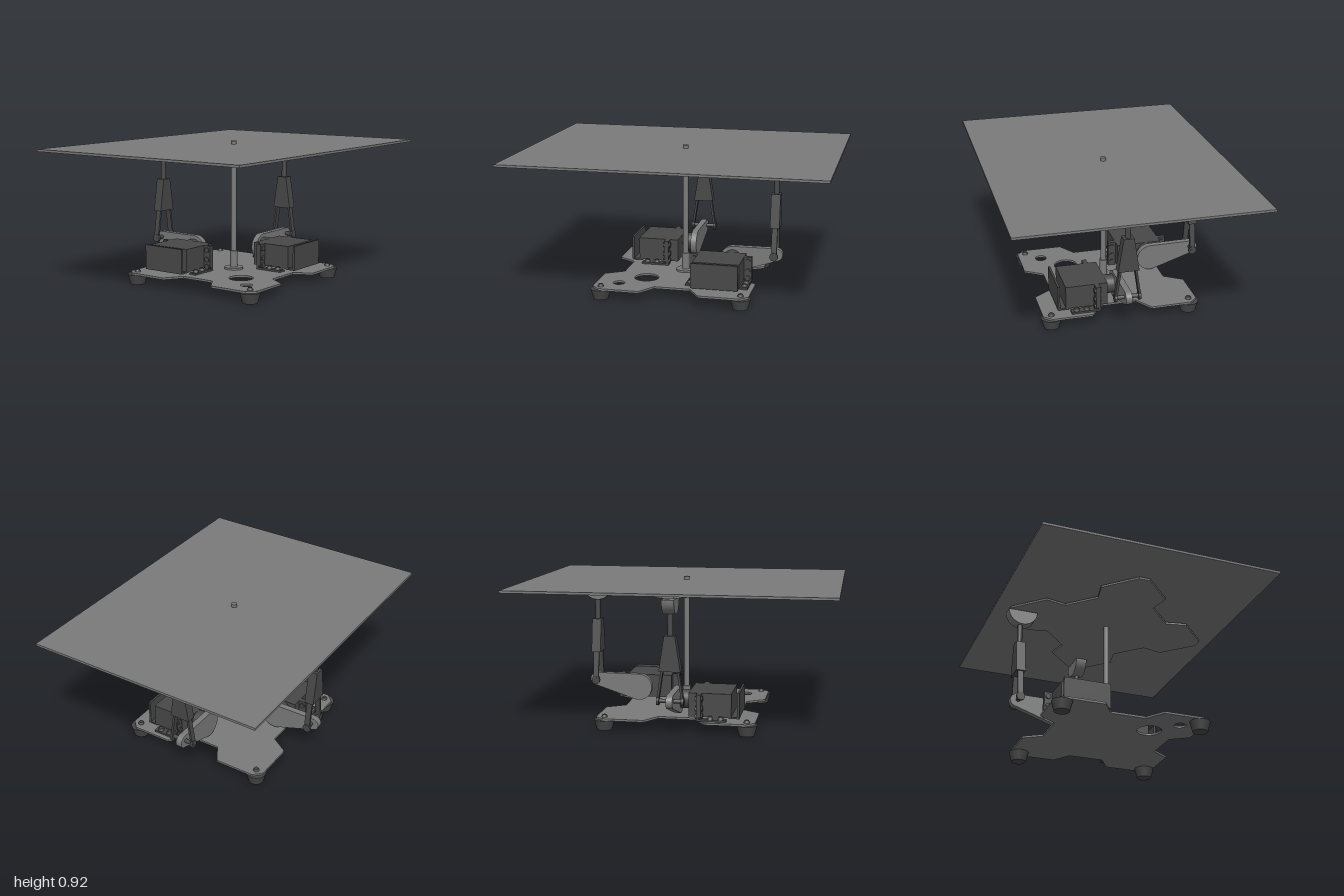
import * as THREE from 'three';

const plain = new THREE.MeshStandardMaterial({ color: 0x7a7a7a });
const dark = new THREE.MeshStandardMaterial({ color: 0x484848 });

function add(parent, name, mat, geo, x = 0, y = 0, z = 0) {
  const m = new THREE.Mesh(geo, mat);
  m.name = name;
  m.position.set(x, y, z);
  parent.add(m);
  return m;
}

// Box given by its two ends on each axis
function box(parent, name, mat, x0, x1, y0, y1, z0, z1) {
  const g = new THREE.BoxGeometry(Math.abs(x1 - x0), Math.abs(y1 - y0), Math.abs(z1 - z0));
  add(parent, name, mat, g, (x0 + x1) / 2, (y0 + y1) / 2, (z0 + z1) / 2);
}

const cyl = (rTop, rBottom, h, n = 28) => new THREE.CylinderGeometry(rTop, rBottom, h, n);
const cylZ = (r, h, n = 24) => cyl(r, r, h, n).rotateX(Math.PI / 2);

// Extrusion centred on its own depth
function slab(shape, depth) {
  return new THREE.ExtrudeGeometry(shape, { depth, bevelEnabled: false, curveSegments: 24 })
    .translate(0, 0, -depth / 2);
}

const poly = pts => new THREE.Shape(pts.map(p => new THREE.Vector2(...p)));

// Four-armed plate: one quarter outline turned four times
function crossPlate(holes) {
  const quarter = [[0.385, 0.115], [0.5, 0.19], [0.5, 0.45], [0.45, 0.5], [0.19, 0.5], [0.115, 0.385]];
  const pts = [];
  for (let k = 0; k < 4; k++) {
    const a = k * Math.PI / 2, c = Math.cos(a), s = Math.sin(a);
    for (const [x, y] of quarter) pts.push([x * c - y * s, x * s + y * c]);
  }
  const shape = poly(pts);
  for (const [x, y, r] of holes) {
    shape.holes.push(new THREE.Path().absarc(x, y, r, 0, Math.PI * 2, true));
  }
  return slab(shape, 0.013).rotateX(Math.PI / 2);
}

// Tapered lever: outline around a large and a small circle
function leverShape(x1, y1, R, x2, y2, r) {
  const phi = Math.atan2(y2 - y1, x2 - x1);
  const beta = Math.acos((R - r) / Math.hypot(x2 - x1, y2 - y1));
  const s = new THREE.Shape();
  s.absarc(x1, y1, R, phi + beta, phi - beta + Math.PI * 2, false);
  s.absarc(x2, y2, r, phi - beta, phi + beta, false);
  s.closePath();
  return s;
}

// Servo on one side of the lever, with bracket, lever and push rod
function servoUnit(side) {
  const g = new THREE.Group();
  g.name = 'servoUnit';
  const rodX = -0.597;

  // Servo body, mounting ears and rear guard
  box(g, 'servoBody', dark, -0.42, -0.12, 0.095, 0.245, side * 0.08, side * 0.348);
  box(g, 'rearGuard', dark, -0.42, -0.12, 0.09, 0.252, side * 0.384, side * 0.398);
  box(g, 'rearGuardFoot', dark, -0.42, -0.12, 0.09, 0.1, side * 0.33, side * 0.398);
  for (const x of [-0.445, -0.095]) {
    box(g, 'servoEar', dark, x - 0.025, x + 0.025, 0.1, 0.245, side * 0.15, side * 0.165);
    box(g, 'bracket', dark, x - 0.025, x + 0.025, 0.078, 0.245, side * 0.135, side * 0.15);
    box(g, 'bracketFoot', dark, x - 0.025, x + 0.025, 0.078, 0.09, side * 0.135, side * 0.32);
    for (const y of [0.105, 0.152, 0.215]) add(g, 'earScrew', dark, cylZ(0.017, 0.046, 16), x, y, side * 0.15);
    for (const z of [0.22, 0.285]) add(g, 'footScrew', dark, cyl(0.013, 0.02, 0.016, 16), x, 0.098, side * z);
  }

  // Output hub and lever
  add(g, 'outputHub', dark, cylZ(0.06, 0.06), -0.32, 0.185, side * 0.05);
  add(g, 'lever', plain, slab(leverShape(-0.32, 0.18, 0.087, -0.605, 0.227, 0.042), 0.04));
  add(g, 'leverPin', dark, cylZ(0.013, 0.17), rodX, 0.23, 0);

  // Fork with two leaning legs
  for (const s of [-1, 1]) {
    const leg = slab(poly([[0.07, 0.23], [0.084, 0.23], [0.054, 0.43], [0.04, 0.43]]), 0.036);
    leg.rotateY(-Math.PI / 2 * s);
    add(g, 'forkLeg', dark, leg, rodX, 0, 0);
    add(g, 'forkEye', dark, cylZ(0.027, 0.016), rodX, 0.23, s * 0.076);
  }
  const block = slab(poly([[-0.067, 0.415], [0.067, 0.415], [0.033, 0.632], [-0.033, 0.632]]), 0.06);
  add(g, 'forkBlock', dark, block.rotateY(Math.PI / 2), rodX, 0, 0);
  add(g, 'pushRod', dark, cyl(0.017, 0.017, 0.19), rodX, 0.715, 0);

  // Half-round joint under the upper plate
  const half = new THREE.Shape().absarc(0, 0, 0.095, Math.PI, Math.PI * 2, false);
  half.closePath();
  add(g, 'topJoint', plain, slab(half, 0.075), -0.589, 0.856, 0);
  add(g, 'jointSpacer', dark, cyl(0.02, 0.02, 0.01), -0.593, 0.86, 0);
  return g;
}

export function createModel() {
  const root = new THREE.Group();
  root.name = 'tiltingPlatform';

  // Plates
  add(root, 'baseplate', plain, crossPlate([[0.21, 0.21, 0.078], [0.355, 0.355, 0.038]]), 0, 0.0715, 0);
  add(root, 'upperPlate', plain, crossPlate([]), 0, 0.869, 0).rotation.y = Math.PI / 4;
  box(root, 'tableTop', plain, -0.767, 0.767, 0.886, 0.901, -1, 1);

  // Centre post
  add(root, 'post', plain, cyl(0.018, 0.018, 0.842), 0, 0.501, 0);
  add(root, 'postSleeve', plain, cyl(0.025, 0.025, 0.12), 0, 0.14, 0);
  add(root, 'postFlange', plain, cyl(0.062, 0.062, 0.014), 0, 0.084, 0);

  // Feet with their bolts
  for (const x of [-0.448, 0.448]) {
    for (const z of [-0.448, 0.448]) {
      add(root, 'foot', dark, cyl(0.065, 0.048, 0.065), x, 0.0325, z);
      add(root, 'footBolt', dark, cyl(0.013, 0.02, 0.016, 16), x, 0.086, z);
    }
  }

  // Two servo units at right angles, mirrored across the diagonal
  root.add(servoUnit(1));
  const second = servoUnit(-1);
  second.rotation.y = -Math.PI / 2;
  root.add(second);
  return root;
}
